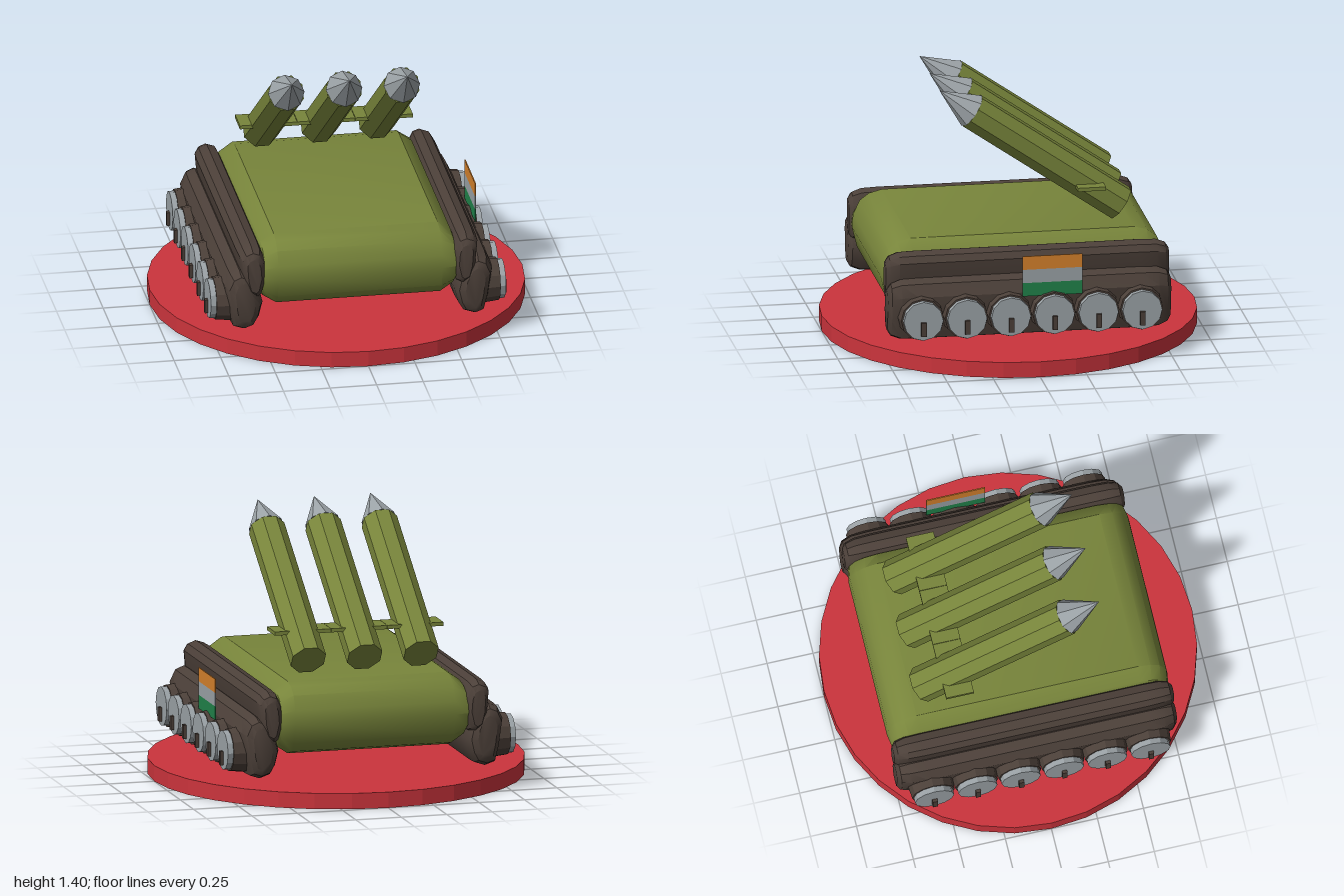
import * as THREE from 'three';
import { toCreasedNormals } from 'three/addons/utils/BufferGeometryUtils.js';

const material = (name, color, flatShading = false) =>
  new THREE.MeshStandardMaterial({ name, color, flatShading });

// Skin a counter-clockwise [x, y] section along z; each station is [z, scaleX, scaleY]
function loft(section, stations, [cx, cy]) {
  const n = section.length, pos = [], index = [];
  for (const [z, sx, sy] of stations)
    for (const [x, y] of section) pos.push(cx + (x - cx) * sx, cy + (y - cy) * sy, z);
  for (let s = 0; s < stations.length - 1; s++)
    for (let i = 0; i < n; i++) {
      const a = s * n + i, b = s * n + (i + 1) % n;
      index.push(a, b, b + n, a, b + n, a + n);
    }
  const last = (stations.length - 1) * n;
  for (let i = 1; i < n - 1; i++) {
    index.push(0, i + 1, i);
    index.push(last, last + i, last + i + 1);
  }
  const g = new THREE.BufferGeometry();
  g.setAttribute('position', new THREE.Float32BufferAttribute(pos, 3));
  g.setIndex(index);
  return toCreasedNormals(g, 0.6);
}

export function createModel() {
  const root = new THREE.Group();
  root.name = 'missileCarrier';

  const red = material('baseRed', 0xcb343c);
  const olive = material('oliveGreen', 0x78853b);
  const brown = material('trackBrown', 0x4c4039);
  const steel = material('steelGrey', 0x9ba2a6);
  const orange = material('flagOrange', 0xd5812c);
  const green = material('flagGreen', 0x21834a);

  const add = (name, geo, mat, parent = root, x = 0, y = 0, z = 0) => {
    const m = new THREE.Mesh(geo, mat);
    m.name = name;
    m.position.set(x, y, z);
    parent.add(m);
    return m;
  };
  const flat = (g) => toCreasedNormals(g, 0.05);

  // Round display base
  add('base', flat(new THREE.CylinderGeometry(1, 1, 0.085, 32)), red, root, 0, 0.0425, 0);

  // Hull with rounded nose and tail, skinned across the width
  const half = [[0.6, 0.24], [0.68, 0.265], [0.735, 0.32], [0.762, 0.43],
    [0.755, 0.5], [0.72, 0.575], [0.67, 0.612], [0.6, 0.63]];
  const hullSection = [...half, ...half.map(([x, y]) => [-x, y]).reverse()];
  const hull = loft(hullSection, [[-0.54, 0.97, 0.35], [-0.51, 0.985, 0.75], [-0.44, 1, 1],
    [0.44, 1, 1], [0.51, 0.985, 0.75], [0.54, 0.97, 0.35]], [0, 0.435]);
  hull.rotateY(Math.PI / 2);
  add('hull', hull, olive);

  // Tracks: an upper guard and a lower run on each side
  const upper = [[0.55, 0.31], [0.6, 0.33], [0.63, 0.42], [0.642, 0.55], [0.62, 0.585],
    [0.575, 0.602], [0.53, 0.588], [0.5, 0.53], [0.49, 0.43], [0.52, 0.33]];
  const lower = [[0.62, 0.13], [0.675, 0.148], [0.7, 0.24], [0.722, 0.385], [0.69, 0.45],
    [0.64, 0.47], [0.59, 0.45], [0.53, 0.36], [0.51, 0.28], [0.53, 0.2], [0.56, 0.15]];
  const ends = [[0.6, 1, 1], [0.69, 0.95, 0.98], [0.74, 0.78, 0.86], [0.76, 0.5, 0.66]];
  const stations = [...ends.map(([z, a, b]) => [-z, a, b]).reverse(), ...ends];
  const wheelZ = [0.59, 0.355, 0.12, -0.115, -0.35, -0.585];
  const tyre = flat(new THREE.CylinderGeometry(0.115, 0.125, 0.1, 12).rotateZ(-Math.PI / 2));
  const disc = flat(new THREE.CylinderGeometry(0.106, 0.106, 0.05, 12).rotateZ(-Math.PI / 2));
  const lug = new THREE.BoxGeometry(0.04, 0.075, 0.027);

  for (const side of [1, -1]) {
    const track = new THREE.Group();
    track.name = side > 0 ? 'leftTrack' : 'rightTrack';
    root.add(track);
    const mirror = (s) => (side > 0 ? s : s.map(([x, y]) => [-x, y]).reverse());
    add('trackGuard', loft(mirror(upper), stations, [side * 0.57, 0.45]), brown, track);
    add('trackRun', loft(mirror(lower), stations, [side * 0.62, 0.3]), brown, track);

    // Road wheels with steel discs and a small lug
    for (const z of wheelZ) {
      const wheel = new THREE.Group();
      wheel.name = 'roadWheel';
      wheel.position.set(0, 0.275, z);
      if (side < 0) wheel.rotation.y = Math.PI;
      add('tyre', tyre, brown, wheel, 0.712);
      add('wheelDisc', disc, steel, wheel, 0.767);
      add('lug', lug, brown, wheel, 0.789, -0.042);
      track.add(wheel);
    }
  }

  // Three-striped flag panel on the left side
  const stripe = new THREE.BoxGeometry(0.006, 0.0735, 0.32);
  [['flagLowerStripe', green], ['flagMiddleStripe', steel], ['flagUpperStripe', orange]]
    .forEach(([name, mat], i) => add(name, stripe, mat, root, 0.74, 0.407 + i * 0.0735, -0.11));

  // Raised missiles, each with a level fin plate near the tail
  const pitch = Math.PI / 2 - Math.atan2(0.552, 0.7975);
  const body = flat(new THREE.CylinderGeometry(0.098, 0.098, 0.97, 8).rotateY(Math.PI / 8));
  const nose = flat(new THREE.ConeGeometry(0.098, 0.212, 8));
  const fin = new THREE.BoxGeometry(0.308, 0.02, 0.15);
  for (const x of [-0.31, 0, 0.31]) {
    const missile = new THREE.Group();
    missile.name = 'missile';
    missile.position.set(x, 1.001, -0.151);
    missile.rotation.x = pitch;
    add('missileBody', body, olive, missile);
    add('missileNose', nose, steel, missile, 0, 0.591, 0);
    root.add(missile);
    add('finPlate', fin, olive, root, x, 0.855, -0.37);
  }
  return root;
}
